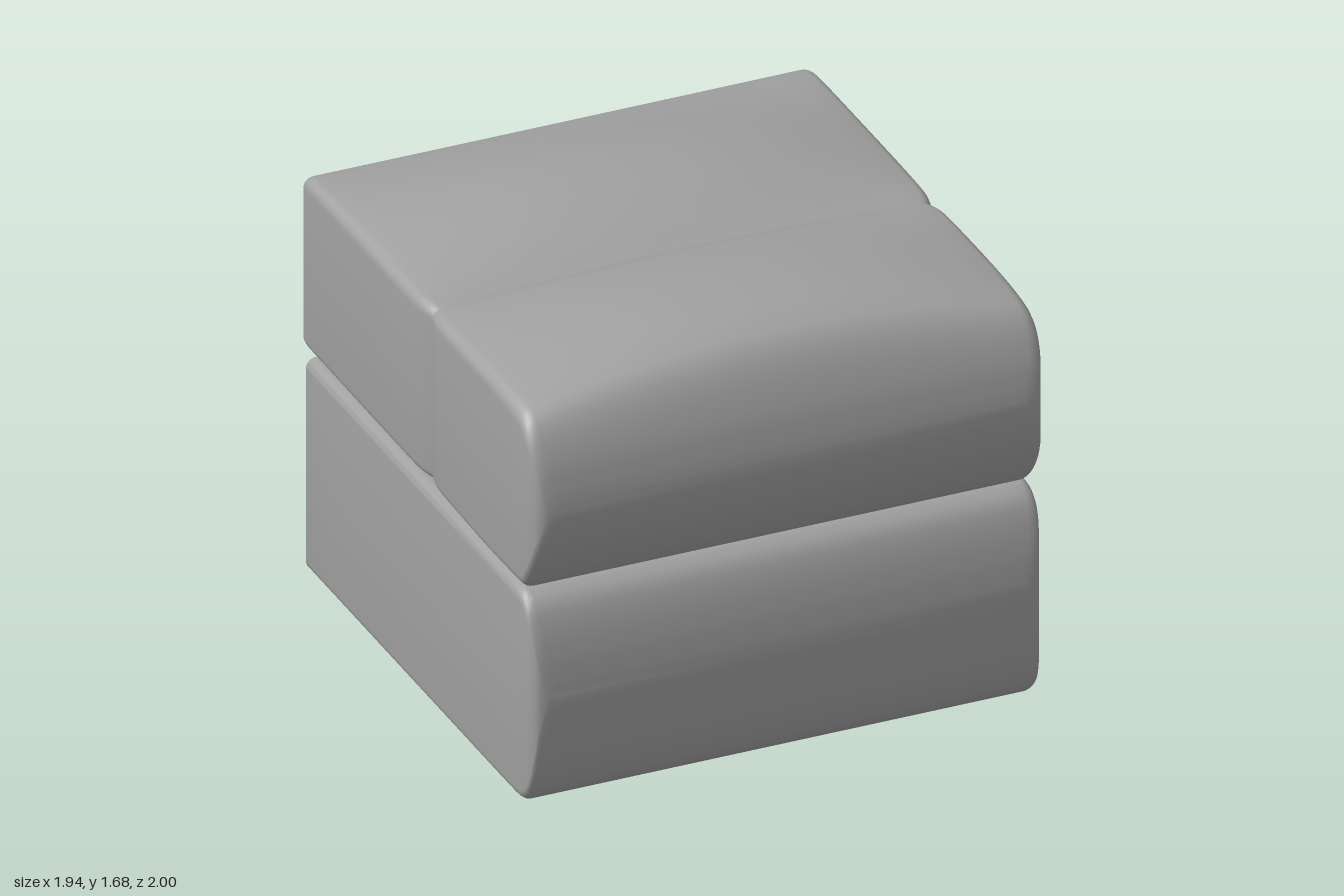
import * as THREE from 'three';
import { toCreasedNormals } from 'three/addons/utils/BufferGeometryUtils.js';

// One closed cross-section in x-y: a rounded rectangle with a crowned top.
function section(z, y0, y1, crown, w, r) {
  r = Math.min(r, (y1 - y0) * 0.49);
  const pts = [];
  const corners = [[1, y0 + r, -0.5], [1, y1 - r, 0], [-1, y1 - r, 0.5], [-1, y0 + r, 1]];
  corners.forEach(([side, cy, start], k) => {
    for (let i = 0; i <= 6; i++) {
      const a = (start + i / 12) * Math.PI;
      pts.push([side * (w - r) + r * Math.cos(a), cy + r * Math.sin(a)]);
    }
    // subdivide the top and bottom edges
    if (k % 2 === 1) {
      const s = k === 1 ? 1 : -1, y = k === 1 ? y1 : y0;
      for (let i = 1; i < 24; i++) pts.push([s * (w - r) * (1 - i / 12), y]);
    }
  });
  const mid = (y0 + y1) / 2;
  return pts.map(([x, y]) => [x, y > mid ? y + crown * (1 - (x / w) ** 2) : y, z]);
}

// Smooth loft through stations [z, bottom, top, crown, halfWidth, radius], back to front.
function loft(stations, steps = 5) {
  const curve = (a, b) => new THREE.SplineCurve(stations.map(s => new THREE.Vector2(s[a], s[b])));
  const curves = [curve(0, 1), curve(2, 3), curve(4, 5)];
  const rows = (stations.length - 1) * steps;
  const pos = [], index = [];
  let n = 0;
  for (let i = 0; i <= rows; i++) {
    const [p, q, s] = curves.map(c => c.getPoint(i / rows));
    const ring = section(p.x, p.y, q.x, q.y, s.x, s.y);
    n = ring.length;
    ring.forEach(v => pos.push(...v));
  }
  for (let i = 0; i < rows; i++) {
    for (let j = 0; j < n; j++) {
      const a = i * n + j, b = i * n + (j + 1) % n;
      index.push(a, b, b + n, a, b + n, a + n);
    }
  }
  // end caps
  [[0, stations[0]], [rows, stations[stations.length - 1]]].forEach(([row, s]) => {
    const c = pos.length / 3;
    pos.push(0, (s[1] + s[2]) / 2, s[0]);
    for (let j = 0; j < n; j++) {
      const a = row * n + j, b = row * n + (j + 1) % n;
      if (row) index.push(c, a, b); else index.push(c, b, a);
    }
  });
  const geo = new THREE.BufferGeometry();
  geo.setAttribute('position', new THREE.Float32BufferAttribute(pos, 3));
  geo.setIndex(index);
  return toCreasedNormals(geo, 0.6);
}

export function createModel() {
  const group = new THREE.Group();
  const fabric = new THREE.MeshStandardMaterial({ color: 0xa0a0a0 });
  fabric.name = 'grey fabric';

  const parts = {
    // flat-backed base with a bulging front
    base: [
      [-0.95, 0, 0.84, 0, 0.97, 0.04], [0.3, 0, 0.84, 0, 0.97, 0.04],
      [0.7, 0, 0.84, 0, 0.97, 0.04], [0.83, 0.003, 0.838, 0, 0.97, 0.04],
      [0.88, 0.018, 0.822, 0, 0.97, 0.04], [0.92, 0.06, 0.78, 0, 0.968, 0.04],
      [0.95, 0.15, 0.7, 0, 0.96, 0.04], [0.97, 0.29, 0.6, 0, 0.945, 0.04],
      [0.98, 0.42, 0.5, 0, 0.915, 0.04],
    ],
    // rear half of the cushion
    backCushion: [
      [-1, 0.9, 1.5, 0, 0.93, 0.03], [-0.995, 0.882, 1.525, 0, 0.955, 0.035],
      [-0.975, 0.872, 1.54, 0, 0.967, 0.04], [-0.92, 0.87, 1.547, 0.012, 0.97, 0.04],
      [-0.8, 0.87, 1.55, 0.045, 0.97, 0.04], [-0.6, 0.869, 1.55, 0.103, 0.97, 0.04],
      [-0.4, 0.868, 1.55, 0.125, 0.97, 0.04], [-0.2, 0.867, 1.55, 0.106, 0.97, 0.04],
      [-0.04, 0.865, 1.55, 0.062, 0.968, 0.04], [0.03, 0.864, 1.548, 0.038, 0.96, 0.04],
      [0.07, 0.866, 1.543, 0.03, 0.948, 0.04],
    ],
    // front half of the cushion with a rolled front
    frontCushion: [
      [0.07, 0.866, 1.543, 0.03, 0.948, 0.04], [0.11, 0.862, 1.548, 0.047, 0.96, 0.04],
      [0.18, 0.86, 1.55, 0.07, 0.968, 0.04], [0.35, 0.855, 1.55, 0.107, 0.97, 0.04],
      [0.55, 0.85, 1.55, 0.124, 0.97, 0.04], [0.72, 0.847, 1.548, 0.115, 0.97, 0.045],
      [0.82, 0.846, 1.54, 0.09, 0.97, 0.05], [0.87, 0.853, 1.525, 0.068, 0.97, 0.05],
      [0.91, 0.9, 1.493, 0.045, 0.97, 0.05], [0.945, 0.965, 1.44, 0.024, 0.966, 0.05],
      [0.975, 1.04, 1.365, 0.01, 0.955, 0.05], [0.993, 1.115, 1.285, 0, 0.935, 0.05],
      [1, 1.17, 1.23, 0, 0.9, 0.03],
    ],
  };
  for (const [name, stations] of Object.entries(parts)) {
    const mesh = new THREE.Mesh(loft(stations), fabric);
    mesh.name = name;
    group.add(mesh);
  }
  return group;
}
